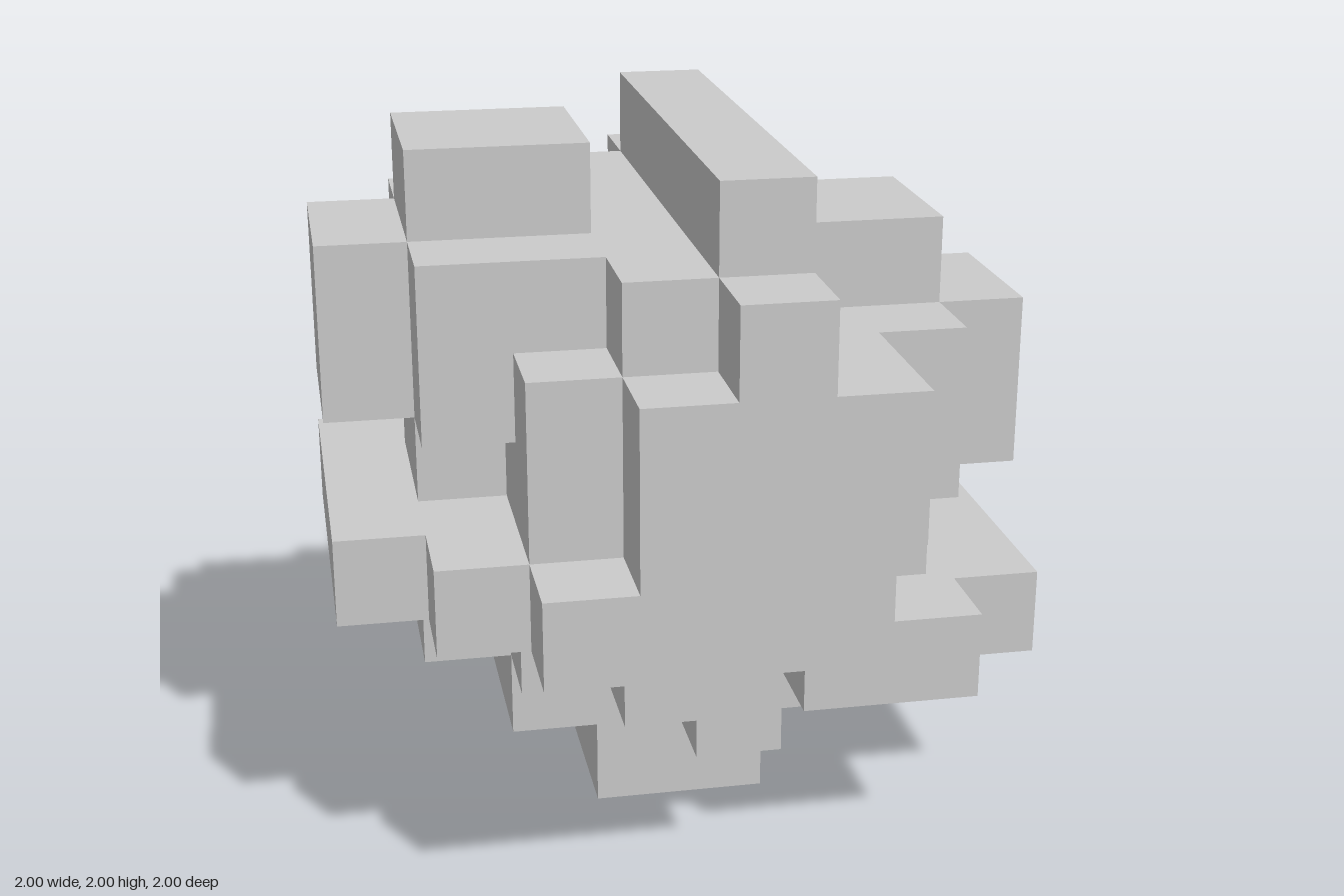
import * as THREE from 'three';

const CELL = 0.25;

// One row per storey, bottom to top: half depth (in cells) of each column, from -x to +x
const LAYERS = [
  ['foot',         [0, 0, 0, 1, 1, 0, 0, 0]],
  ['ankle',        [0, 0, 1, 1, 2, 1, 0, 0]],
  ['lowerFlange',  [0, 1, 2, 3, 2, 3, 3, 2]],
  ['upperFlange',  [2, 3, 4, 4, 4, 3, 1, 0]],
  ['lowerBody',    [0, 1, 3, 4, 4, 4, 2, 1]],
  ['upperBody',    [1, 2, 3, 4, 4, 4, 2, 1]],
  ['shoulder',     [1, 2, 2, 3, 4, 1, 1, 0]],
  ['crest',        [0, 1, 1, 0, 3, 0, 0, 0]],
];

// Stepped outline, mirrored front to back, for columns start..end-1
function steppedShape(depths, start, end) {
  const front = [];
  for (let i = start; i < end; i++) {
    const d = depths[i] * CELL;
    if (i === start || depths[i] !== depths[i - 1]) front.push([(i - 4) * CELL, d]);
    if (i === end - 1 || depths[i] !== depths[i + 1]) front.push([(i - 3) * CELL, d]);
  }
  const back = front.map(([x, d]) => [x, -d]).reverse();
  return new THREE.Shape([...front, ...back].map(([x, y]) => new THREE.Vector2(x, y)));
}

// Separate outlines for each unbroken run of filled columns
function layerShapes(depths) {
  const shapes = [];
  for (let i = 0; i < depths.length; i++) {
    if (!depths[i]) continue;
    const start = i;
    while (i < depths.length && depths[i]) i++;
    shapes.push(steppedShape(depths, start, i));
  }
  return shapes;
}

export function createModel() {
  const group = new THREE.Group();
  group.name = 'blockSculpture';
  const material = new THREE.MeshStandardMaterial({ color: 0xcccccc, flatShading: true });

  LAYERS.forEach(([name, depths], level) => {
    const geometry = new THREE.ExtrudeGeometry(layerShapes(depths), { depth: CELL, bevelEnabled: false });
    geometry.rotateX(-Math.PI / 2);
    const mesh = new THREE.Mesh(geometry, material);
    mesh.name = name;
    mesh.position.y = level * CELL;
    group.add(mesh);
  });
  return group;
}
